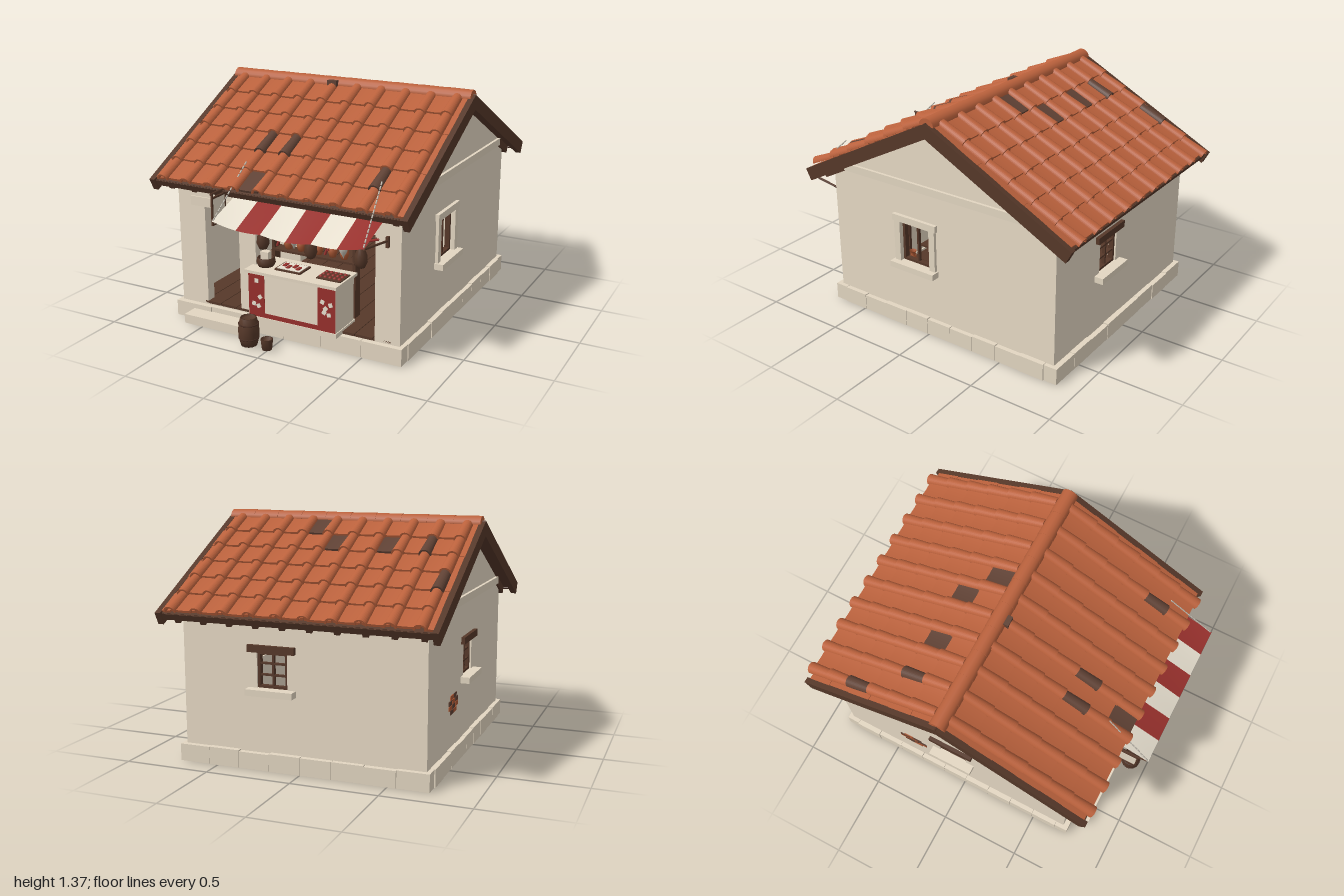
import * as THREE from 'three';

const mat = (name, color) => Object.assign(new THREE.MeshStandardMaterial({ color, side: THREE.DoubleSide }), { name });
const M = {
  tile: mat('terracotta tile', 0xba613c), darkTile: mat('weathered tile', 0x5f4134),
  wall: mat('plaster', 0xe7dac5), stone: mat('stone', 0xe3d6c1),
  wood: mat('dark wood', 0x563829), floor: mat('floor shadow brown', 0x482d23),
  red: mat('red cloth', 0x97302c), cloth: mat('cream cloth', 0xf2ead9),
  clay: mat('fired clay', 0xac5834), silver: mat('pale metal', 0xc4beb2),
};
const V = (x, y, z) => new THREE.Vector3(x, y, z);

export function createModel() {
  const root = new THREE.Group();
  root.name = 'marketHouse';
  let seed = 7;
  const rnd = () => (seed = (seed * 16807) % 2147483647) / 2147483647;

  const add = (name, geo, m, x = 0, y = 0, z = 0, parent = root) => {
    const mesh = new THREE.Mesh(geo, m);
    mesh.name = name;
    mesh.position.set(x, y, z);
    parent.add(mesh);
    return mesh;
  };
  // box given by its minimum and maximum corners
  const box = (name, m, x0, x1, y0, y1, z0, z1, parent = root) =>
    add(name, new THREE.BoxGeometry(x1 - x0, y1 - y0, z1 - z0), m, (x0 + x1) / 2, (y0 + y1) / 2, (z0 + z1) / 2, parent);
  const rod = (name, m, a, b, r) => {
    const mesh = add(name, new THREE.CylinderGeometry(r, r, a.distanceTo(b), 6), m);
    mesh.position.copy(a).lerp(b, 0.5);
    mesh.quaternion.setFromUnitVectors(V(0, 1, 0), b.clone().sub(a).normalize());
    return mesh;
  };
  const lathe = (name, m, pts, x, y, z, seg = 12) =>
    add(name, new THREE.LatheGeometry(pts.map(p => new THREE.Vector2(p[0], p[1])), seg), m, x, y, z);
  // wall panel from an outline with rectangular holes [x0, x1, y0, y1]
  const panel = (name, pts, holes, depth) => {
    const s = new THREE.Shape(pts.map(p => new THREE.Vector2(p[0], p[1])));
    for (const [a, b, c, d] of holes)
      s.holes.push(new THREE.Path([[a, c], [a, d], [b, d], [b, c]].map(p => new THREE.Vector2(p[0], p[1]))));
    return add(name, new THREE.ExtrudeGeometry(s, { depth, bevelEnabled: false }), M.wall);
  };

  // walls
  const rect = [[-0.71, 0.09], [0.71, 0.09], [0.71, 0.88], [-0.71, 0.88]];
  panel('frontWall', rect, [[-0.53, -0.3, 0.1, 0.7], [-0.19, 0.56, 0.1, 0.78]], 0.06).position.z = 0.64;
  panel('backWall', rect, [[0.08, 0.26, 0.46, 0.66]], 0.05).position.z = -0.84;
  const gable = [[-0.84, 0.09], [0.7, 0.09], [0.7, 0.895], [-0.07, 1.295], [-0.84, 0.895]];
  for (const [name, x, hole] of [['rightWall', 0.71, [-0.01, 0.2, 0.42, 0.67]], ['leftWall', -0.66, [-0.16, 0.02, 0.46, 0.65]]]) {
    const w = panel(name, gable, [hole], 0.05);
    w.rotation.y = -Math.PI / 2;
    w.position.x = x;
  }
  for (const s of [-1, 1]) box('gableBand', M.stone, s * 0.715 - 0.012, s * 0.715 + 0.012, 0.885, 0.93, -0.75, 0.61);

  // plinth stones, floor and doorstep
  const course = (a, b, n, put) => {
    const w = (b - a) / n;
    for (let i = 0; i < n; i++) put(a + i * w + 0.001, a + (i + 1) * w - 0.001, 0.093 + rnd() * 0.008, rnd() * 0.006);
  };
  course(-0.735, 0.735, 6, (a, b, h, j) => box('plinthStone', M.stone, a, b, 0, h, 0.65, 0.728 + j));
  course(-0.735, 0.735, 8, (a, b, h, j) => box('plinthStone', M.stone, a, b, 0, h, -0.868 - j, -0.79));
  course(-0.79, 0.65, 9, (a, b, h, j) => {
    box('plinthStone', M.stone, 0.66, 0.735 + j, 0, h, a, b);
    box('plinthStone', M.stone, -0.735 - j, -0.66, 0, h, a, b);
  });
  box('floorBase', M.floor, -0.67, 0.67, 0.02, 0.1, -0.8, 0.66);
  for (let i = 0; i < 12; i++) box('floorPlank', M.wood, -0.66 + i * 0.11, -0.554 + i * 0.11, 0.1, 0.115, -0.79, 0.7);
  box('doorstep', M.stone, -0.61, -0.22, 0.01, 0.065, 0.72, 0.83);
  box('doorLintel', M.stone, -0.62, -0.22, 0.7, 0.755, 0.66, 0.708);

  // windows, built facing +z and turned to their wall
  const makeWindow = (name, w, y0, y1, trim, x, z, turn) => {
    const g = new THREE.Group();
    g.name = name;
    g.position.set(x, 0, z);
    g.rotation.y = turn;
    root.add(g);
    const h = w / 2;
    box('lintel', trim, -h - 0.05, h + 0.05, y1, y1 + 0.04, -0.04, 0.022, g);
    box('sill', M.stone, -h - 0.05, h + 0.05, y0 - 0.036, y0, -0.04, 0.054, g);
    for (const s of [-1, 1]) {
      box('frameSide', M.wood, s * (h - 0.008) - 0.008, s * (h - 0.008) + 0.008, y0, y1, -0.04, -0.01, g);
      if (trim === M.stone) box('jamb', M.stone, s * (h + 0.02) - 0.02, s * (h + 0.02) + 0.02, y0, y1, -0.04, 0.018, g);
    }
    for (const y of [y0, y1 - 0.014]) box('frameRail', M.wood, -h, h, y, y + 0.014, -0.04, -0.01, g);
    box('mullion', M.wood, -0.006, 0.006, y0, y1, -0.035, -0.015, g);
    if (trim === M.wood) for (const t of [0.36, 0.68])
      box('crossbar', M.wood, -h, h, y0 + (y1 - y0) * t - 0.005, y0 + (y1 - y0) * t + 0.005, -0.035, -0.015, g);
  };
  makeWindow('rightWindow', 0.21, 0.42, 0.67, M.stone, 0.71, 0.095, Math.PI / 2);
  makeWindow('leftWindow', 0.18, 0.46, 0.65, M.wood, -0.71, -0.07, -Math.PI / 2);
  makeWindow('backWindow', 0.18, 0.46, 0.66, M.wood, 0.17, -0.84, Math.PI);

  // exposed bricks on the left wall
  for (let r = 0; r < 4; r++) for (let c = 0; c < (r % 3 ? 3 : 2); c++) {
    const z = -0.45 + c * 0.062 + (r % 3 ? 0 : 0.03), y = 0.29 + r * 0.028;
    box('exposedBrick', (r + c) % 2 ? M.clay : M.darkTile, -0.714, -0.7, y, y + 0.025, z, z + 0.058);
  }

  // roof: two sloping sides of pan and cover tiles
  const bend = (g, f) => {
    const p = g.attributes.position, v = V(0, 0, 0);
    for (let i = 0; i < p.count; i++) { f(v.fromBufferAttribute(p, i)); p.setXYZ(i, v.x, v.y, v.z); }
    g.computeVertexNormals();
    return g;
  };
  const pitch = 0.157, row = 0.161, L = 0.18, slope = Math.atan(0.52);
  const pan = bend(new THREE.BoxGeometry(0.15, 0.014, L, 4, 1, 1), v => { v.y += 1.2 * v.x * v.x; });
  const arch = new THREE.Shape();
  arch.absarc(0, 0, 0.036, 0, Math.PI, false);
  arch.absarc(0, 0, 0.026, Math.PI, 0, true);
  const cover = bend(new THREE.ExtrudeGeometry(arch, { depth: L, bevelEnabled: false, curveSegments: 8 }),
    v => { const k = 0.84 + 0.16 * v.z / L; v.x *= k; v.y *= k; });
  const darkFront = { cover: ['3,3', '4,3', '8,4'], pan: ['3,5'] };
  const darkBack = { cover: ['0,4', '1,2'], pan: ['2,2', '4,2', '5,1'] };
  // the weathered back tiles lie one row nearer the ridge
  for (const [name, s, dark, up] of [['frontRoof', 1, darkFront, 0], ['backRoof', -1, darkBack, 1]]) {
    const side = new THREE.Group();
    side.name = name;
    side.position.set(0, 1.322, -0.07);
    side.rotation.set(slope, s > 0 ? 0 : Math.PI, 0, 'YXZ');
    root.add(side);
    box('roofDeck', M.wood, -0.77, 0.77, -0.035, 0, 0, 1.01, side);
    box('eaveBoard', M.wood, -0.78, 0.78, -0.042, 0.002, 0.985, 1.005, side);
    for (const e of [-1, 1]) box('bargeBoard', M.wood, e * 0.785 - 0.017, e * 0.785 + 0.017, -0.062, 0.014, -0.01, 1.022, side);
    for (let c = 0; c < 10; c++) {
      const x = s * (-0.707 + c * pitch);
      box('rafterTail', M.wood, x - 0.016, x + 0.016, -0.08, -0.03, 0.8, 0.98, side);
      for (let r = 0; r < 6; r++) {
        const id = c + ',' + (r + up), z0 = 0.03 + r * row;
        const t = add('coverTile', cover, dark.cover.includes(id) ? M.darkTile : M.tile, x, 0.012, z0 + rnd() * 0.006, side);
        t.rotation.x = -0.06;
        if (c < 9) {
          const p = add('panTile', pan, dark.pan.includes(id) ? M.darkTile : M.tile, x + s * pitch / 2, 0.014, z0 + L / 2 - 0.014 + rnd() * 0.006, side);
          p.rotation.x = -0.07;
        }
      }
    }
    // narrow edge pans beside the barge boards
    for (const e of [-1, 1]) for (let r = 0; r < 6; r++)
      box('edgeTile', M.tile, e * 0.745 - 0.025, e * 0.745 + 0.025, 0, 0.012 + (r % 2) * 0.003, 0.03 + r * row, 0.03 + (r + 1) * row, side);
  }
  for (let i = 0; i < 10; i++) {
    const g = new THREE.CylinderGeometry(0.05, 0.048, 0.16, 8, 1, false, 0, Math.PI);
    const t = add('ridgeTile', g, M.tile, -0.702 + i * 0.1565, 1.32, -0.07);
    t.rotation.z = Math.PI / 2;
    t.scale.x = 0.92;
  }
  box('ridgeChip', M.darkTile, -0.11, -0.05, 1.31, 1.352, -0.03, 0.0);

  // striped awning with a scalloped front edge
  for (let i = 0; i < 6; i++) {
    const g = bend(new THREE.PlaneGeometry(1, 1, 6, 6), v => {
      const u = (i + v.x + 0.5) / 6, t = 0.5 - v.y;
      const dip = 0.03 * Math.sin(Math.PI * u) + 0.012 * Math.abs(Math.sin(Math.PI * u * 3));
      v.set(-0.27 + 0.91 * u, 0.845 - 0.105 * t - dip * t, 0.705 + 0.292 * t);
    });
    add('awningStripe', g, i % 2 ? M.red : M.cloth);
  }
  for (const [x, xr] of [[-0.265, -0.23], [0.635, 0.595]]) {
    rod('awningStrut', M.wood, V(x, 0.69, 0.7), V(x, 0.735, 0.985), 0.007);
    box('strutBracket', M.wood, x - 0.008, x + 0.008, 0.655, 0.715, 0.7, 0.72);
    const a = V(x, 0.745, 0.99), b = V(xr, 1.01, 0.7);
    for (let k = 0; k < 14; k++) rod('awningChain', M.silver, a.clone().lerp(b, k / 14), a.clone().lerp(b, (k + 0.75) / 14), 0.004);
  }
  // framed hanging board beside the awning
  rod('signArm', M.wood, V(-0.308, 0.87, 0.69), V(-0.308, 0.87, 0.945), 0.007);
  box('signBoard', M.wall, -0.311, -0.305, 0.7, 0.84, 0.82, 0.93);
  for (const z of [0.81, 0.93]) box('signFrame', M.wood, -0.313, -0.303, 0.69, 0.865, z, z + 0.01);
  for (const y of [0.69, 0.84]) box('signFrame', M.wood, -0.313, -0.303, y, y + 0.01, 0.82, 0.93);

  // garland and hanging goods
  const swag = [];
  for (let i = 0; i <= 10; i++) swag.push(V(-0.17 + 0.077 * i, 0.705 - 0.03 * Math.sin(Math.PI * i / 10) - (i % 2) * 0.012, 0.745));
  add('garland', new THREE.TubeGeometry(new THREE.CatmullRomCurve3(swag), 40, 0.007, 5), M.red);
  rod('hangingRail', M.wood, V(-0.2, 0.7, 0.73), V(0.58, 0.7, 0.73), 0.006);
  const gourd = [[0, 0], [0.022, 0.005], [0.036, 0.035], [0.033, 0.075], [0.02, 0.11], [0.008, 0.14]];
  const drop = [[0, 0], [0.006, 0.015], [0.021, 0.04], [0.025, 0.065], [0.016, 0.095], [0, 0.11]];
  const jar = [[0, 0], [0.018, 0], [0.027, 0.03], [0.024, 0.052], [0.016, 0.06], [0.019, 0.07]];
  const hang = (name, m, pts, x, y) => {
    lathe(name, m, pts, x, y, 0.73);
    rod('hangingCord', M.wood, V(x, y + 0.06, 0.73), V(x, 0.7, 0.73), 0.003);
  };
  for (const x of [-0.12, 0.185, 0.49]) hang('hangingGourd', M.wood, gourd, x, 0.52);
  for (const x of [0.08, 0.385]) hang('hangingLamp', M.silver, drop, x, 0.555);
  for (const x of [-0.015, 0.285]) for (let k = 0; k < 5; k++)
    rod('driedPepper', M.red, V(x, 0.69 - k * 0.025, 0.73), V(x + (k % 2 ? 0.01 : -0.01), 0.66 - k * 0.025, 0.735), 0.007);

  // market counter with a painted front
  box('counterBody', M.stone, -0.2, 0.36, 0.1, 0.39, 0.56, 0.77);
  box('counterTop', M.stone, -0.212, 0.372, 0.388, 0.405, 0.54, 0.79);
  box('counterFoot', M.stone, -0.205, 0.365, 0.1, 0.128, 0.55, 0.78);
  box('frontPanel', M.wall, -0.09, 0.25, 0.155, 0.388, 0.768, 0.774);
  box('redStripe', M.red, -0.195, 0.358, 0.128, 0.155, 0.768, 0.775);
  box('redPanel', M.red, -0.195, -0.09, 0.155, 0.388, 0.768, 0.775);
  box('redPanel', M.red, 0.25, 0.358, 0.155, 0.388, 0.768, 0.775);
  [[-0.14, 0.345], [-0.12, 0.25], [-0.16, 0.205], [-0.13, 0.195], [0.28, 0.3], [0.33, 0.29], [0.29, 0.24], [0.32, 0.23], [0.3, 0.265]].forEach(([x, y], i) => {
    const q = box('paintedSquare', M.cloth, x - 0.012, x + 0.012, y - 0.012, y + 0.012, 0.774, 0.778);
    q.rotation.z = i * 0.7;
  });
  lathe('cookingPot', M.wood, [[0, 0], [0.045, 0], [0.055, 0.02], [0.05, 0.05], [0.043, 0.05], [0.04, 0.02]], -0.135, 0.405, 0.68);
  box('potBlock', M.stone, -0.16, -0.11, 0.43, 0.49, 0.66, 0.7);
  box('tray', M.wood, -0.055, 0.11, 0.405, 0.414, 0.6, 0.72);
  box('trayCloth', M.cloth, -0.045, 0.1, 0.413, 0.418, 0.61, 0.71);
  for (let i = 0; i < 4; i++) box('trayFood', M.red, -0.03 + i * 0.032, -0.01 + i * 0.032, 0.417, 0.424, 0.635 + (i % 2) * 0.02, 0.675 + (i % 2) * 0.02);
  box('produceTray', M.wood, 0.21, 0.36, 0.405, 0.411, 0.6, 0.72);
  for (let i = 0; i < 15; i++)
    add('produce', new THREE.IcosahedronGeometry(0.011, 1), M.red, 0.225 + (i % 5) * 0.029, 0.41, 0.62 + Math.floor(i / 5) * 0.036);

  // shelf rack with jars
  for (const x of [-0.185, 0.34]) box('rackPost', M.wood, x - 0.009, x + 0.009, 0.115, 0.62, 0.46, 0.52);
  for (const y of [0.45, 0.6]) {
    box('rackShelf', M.wood, -0.19, 0.345, y - 0.012, y, 0.45, 0.53);
    for (const x of [-0.1, -0.015, 0.1, 0.19, 0.265]) lathe('shelfJar', M.clay, jar, x, y, 0.49);
  }
  box('windowShelf', M.wood, 0.54, 0.66, 0.515, 0.525, 0, 0.11);
  lathe('windowJar', M.clay, jar, 0.6, 0.525, 0.05).scale.setScalar(0.8);

  // floor goods
  const amphora = [[0, 0], [0.012, 0.01], [0.038, 0.085], [0.042, 0.115], [0.034, 0.145], [0.017, 0.165], [0.015, 0.195], [0.024, 0.21]];
  for (const [x, s] of [[0.45, 0.97], [0.535, 1.05]]) {
    lathe('amphora', M.clay, amphora, x, 0.115, 0.35).scale.setScalar(s);
    for (const e of [-1, 1]) {
      const h = add('amphoraHandle', new THREE.TorusGeometry(0.014, 0.004, 5, 10), M.clay, x + e * 0.018, 0.115 + 0.17 * s, 0.35);
      h.scale.x = 0.6;
    }
  }
  const barrel = [[0, 0], [0.046, 0], [0.056, 0.04], [0.06, 0.083], [0.056, 0.125], [0.046, 0.165], [0.04, 0.165], [0.04, 0.15], [0, 0.15]];
  lathe('barrel', M.wood, barrel, -0.122, 0.01, 0.895);
  for (const y of [0.045, 0.13]) {
    const hoop = add('barrelHoop', new THREE.TorusGeometry(0.055, 0.004, 5, 16), M.floor, -0.122, 0.01 + y, 0.895);
    hoop.rotation.x = Math.PI / 2;
  }
  lathe('bucket', M.wood, [[0, 0], [0.028, 0], [0.035, 0.062], [0.029, 0.062], [0.026, 0.045], [0, 0.045]], -0.002, 0.01, 0.9);
  box('storageBlock', M.stone, -0.55, -0.37, 0.115, 0.24, -0.3, -0.1);
  const keg = lathe('keg', M.wood, barrel, -0.43, 0.277, -0.2);
  keg.rotation.z = Math.PI / 2;
  keg.scale.set(0.62, 0.68, 0.62);
  return root;
}
